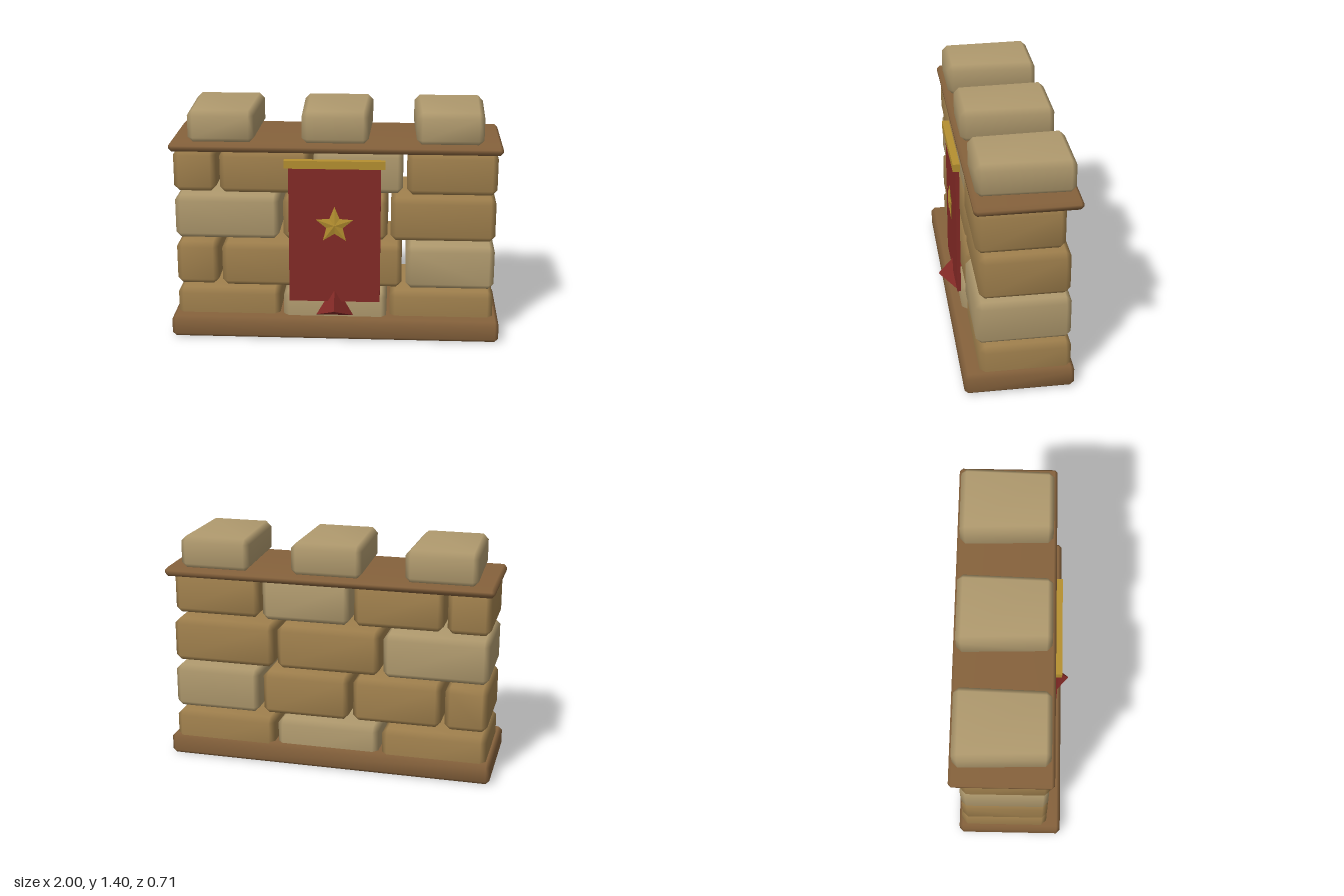
import * as THREE from 'three';
import { mergeVertices } from 'three/addons/utils/BufferGeometryUtils.js';
import { ConvexGeometry } from 'three/addons/geometries/ConvexGeometry.js';

const paint = (color, extra = {}) => Object.assign(new THREE.MeshStandardMaterial({ color }), extra);
const lightStone = paint(0xb09a6e);
const darkStone = paint(0xa0804d);
const wood = paint(0x86623c);
const red = paint(0x842a26);
const redFlat = paint(0x842a26, { flatShading: true });
const gold = paint(0xb59030, { flatShading: true });

// Box with 45 degree bevels and soft normals; taper narrows its front end in x
function bevelBox(name, x, y, z, bevel, material, taper = 0) {
  const size = [x, y, z].map(([a, b]) => (b - a) / 2);
  const points = [];
  for (const sx of [-1, 1]) for (const sy of [-1, 1]) for (const sz of [-1, 1]) {
    for (let axis = 0; axis < 3; axis++) {
      const c = size.map((s, i) => (i === axis ? s : s - bevel));
      c[0] -= taper * (1 + sz) / 2;
      points.push(new THREE.Vector3(sx * c[0], sy * c[1], sz * c[2]));
    }
  }
  let geometry = new ConvexGeometry(points);
  geometry.deleteAttribute('normal');
  geometry = mergeVertices(geometry);
  geometry.computeVertexNormals();
  const mesh = new THREE.Mesh(geometry, material);
  mesh.name = name;
  mesh.position.set((x[0] + x[1]) / 2, (y[0] + y[1]) / 2, (z[0] + z[1]) / 2);
  return mesh;
}

function plainBox(name, w, h, d, x, y, z, material) {
  const mesh = new THREE.Mesh(new THREE.BoxGeometry(w, h, d), material);
  mesh.name = name;
  mesh.position.set(x, y, z);
  return mesh;
}

// Five-pointed star, ridged to a shallow peak on both faces
function star(outer, inner, depth) {
  const rim = i => {
    const a = Math.PI / 2 + i * Math.PI / 5;
    const r = i % 2 ? inner : outer;
    return [r * Math.cos(a), r * Math.sin(a), 0];
  };
  const positions = [];
  for (let i = 0; i < 10; i++) {
    positions.push(0, 0, depth, ...rim(i), ...rim(i + 1));
    positions.push(0, 0, -depth, ...rim(i + 1), ...rim(i));
  }
  const geometry = new THREE.BufferGeometry();
  geometry.setAttribute('position', new THREE.Float32BufferAttribute(positions, 3));
  geometry.computeVertexNormals();
  const mesh = new THREE.Mesh(geometry, gold);
  mesh.name = 'star';
  return mesh;
}

export function createModel() {
  const model = new THREE.Group();
  model.name = 'battlementWall';

  // Foot and ledge boards
  model.add(bevelBox('base', [-1, 1], [0, 0.13], [-0.33, 0.308], 0.022, wood));
  model.add(bevelBox('ledge', [-0.99, 0.99], [1.16, 1.215], [-0.35, 0.245], 0.018, wood));

  // Brick courses; each brick is [left, right, back, front, stone]
  const courses = [
    { y: [0.02, 0.285], bricks: [
      [-0.97, -0.34, -0.31, 0.22, darkStone],
      [-0.315, 0.315, -0.30, 0.24, lightStone],
      [0.335, 0.965, -0.315, 0.215, darkStone]] },
    { y: [0.315, 0.583], bricks: [
      [-0.97, -0.715, -0.30, 0.22, darkStone],
      [-0.69, -0.155, -0.29, 0.235, darkStone],
      [-0.13, 0.405, -0.30, 0.225, darkStone],
      [0.43, 0.965, -0.31, 0.235, lightStone]] },
    { y: [0.613, 0.88], bricks: [
      [-0.97, -0.34, -0.30, 0.22, lightStone],
      [-0.315, 0.315, -0.295, 0.215, darkStone],
      [0.335, 0.965, -0.30, 0.215, darkStone]] },
    { y: [0.91, 1.165], bricks: [
      [-0.97, -0.715, -0.29, 0.225, darkStone],
      [-0.69, -0.155, -0.275, 0.24, darkStone],
      [-0.13, 0.405, -0.285, 0.215, lightStone],
      [0.43, 0.965, -0.265, 0.235, darkStone]] },
  ];
  const bricks = new THREE.Group();
  bricks.name = 'bricks';
  for (const { y, bricks: row } of courses) {
    for (const [left, right, back, front, stone] of row) {
      bricks.add(bevelBox('brick', [left, right], y, [back, front], 0.032, stone));
    }
  }
  model.add(bricks);

  // Merlons on the ledge
  for (const x of [-0.68, 0, 0.68]) {
    model.add(bevelBox('merlon', [x - 0.212, x + 0.212], [1.21, 1.405], [-0.33, 0.222], 0.032, lightStone, 0.014));
  }

  // Hanging banner with rod, star and pointed tail
  const banner = new THREE.Group();
  banner.name = 'banner';
  banner.add(plainBox('cloth', 0.55, 0.865, 0.022, 0, 0.67, 0.254, red));
  banner.add(plainBox('rod', 0.6, 0.048, 0.042, 0, 1.104, 0.262, gold));
  const badge = star(0.118, 0.052, 0.011);
  badge.position.set(0, 0.728, 0.274);
  banner.add(badge);
  const tail = new THREE.Mesh(new ConvexGeometry([
    new THREE.Vector3(0, 0.205, 0.355),
    new THREE.Vector3(0, 0.42, 0.17),
    new THREE.Vector3(-0.128, 0.13, 0.225),
    new THREE.Vector3(0.128, 0.13, 0.225),
  ]), redFlat);
  tail.name = 'bannerTail';
  banner.add(tail);
  model.add(banner);

  return model;
}
